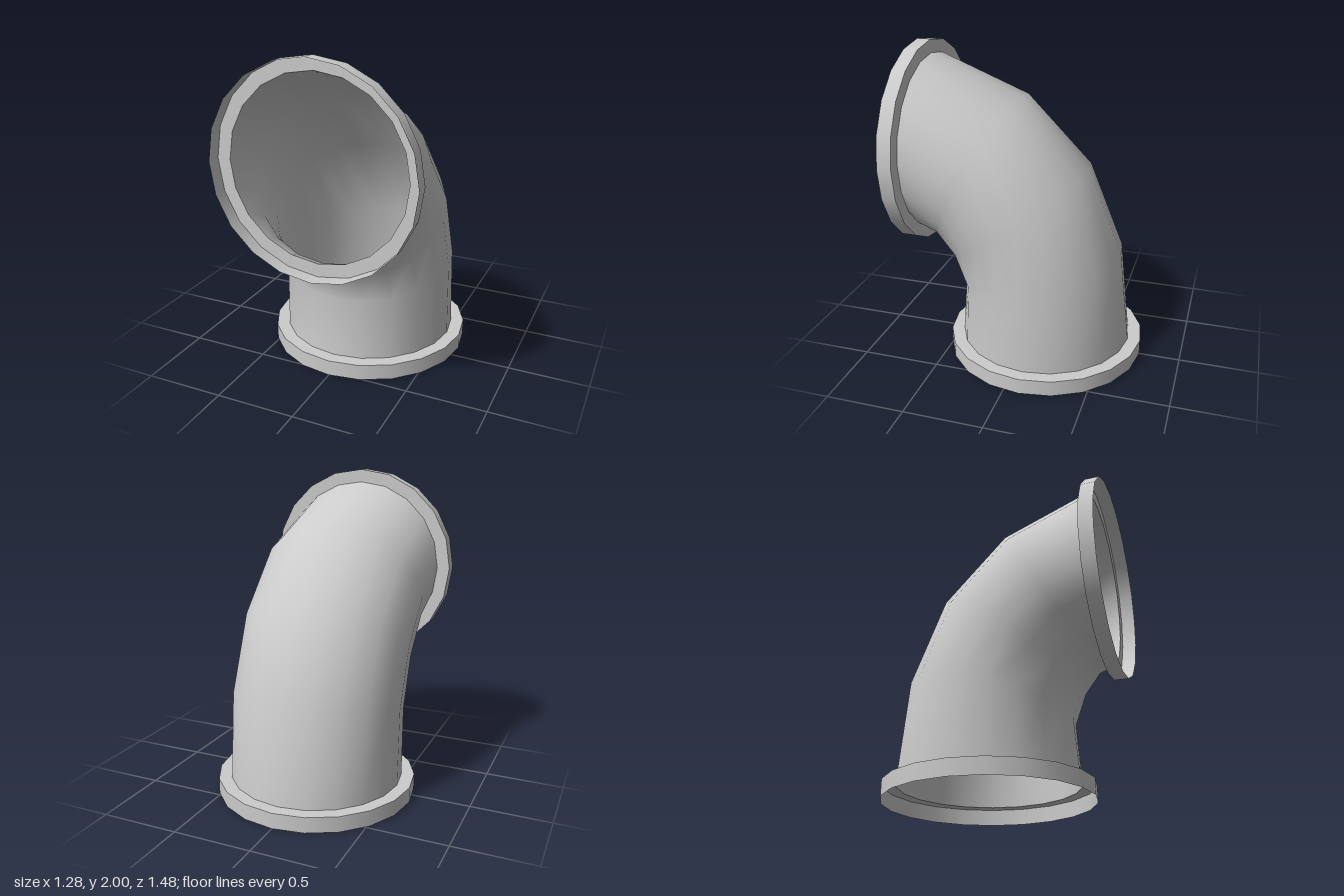
import * as THREE from 'three';

const SIDES = 20;
const PIPE_R = 0.555;
const FLANGE_R = 0.638;
const material = new THREE.MeshStandardMaterial({ color: 0xcccccc, side: THREE.DoubleSide });

// Cross-sections of the elbow: [outer z, outer y, inner z, inner y]
const SECTIONS = [
  [-0.655, 0.1, 0.455, 0.1],
  [-0.585, 0.71, 0.425, 0.475],
  [-0.36, 1.255, 0.493, 0.662],
  [0.063, 1.683, 0.58, 0.78],
  [0.65, 1.917, 0.65, 0.807],
];

// Skin the oval cross-sections into one smooth open tube
function elbowGeometry() {
  const positions = [];
  const indices = [];
  SECTIONS.forEach(([oz, oy, iz, iy], i) => {
    for (let j = 0; j < SIDES; j++) {
      const a = (j / SIDES) * Math.PI * 2;
      const c = Math.cos(a) / 2;
      positions.push(
        PIPE_R * Math.sin(a),
        (oy + iy) / 2 + (oy - iy) * c,
        (oz + iz) / 2 + (oz - iz) * c,
      );
      if (i === SECTIONS.length - 1) continue;
      const k = (j + 1) % SIDES;
      const p = i * SIDES + j, q = i * SIDES + k;
      indices.push(p, p + SIDES, q, q, p + SIDES, q + SIDES);
    }
  });
  const geometry = new THREE.BufferGeometry();
  geometry.setAttribute('position', new THREE.Float32BufferAttribute(positions, 3));
  geometry.setIndex(indices);
  geometry.computeVertexNormals();
  return geometry;
}

// Open collar: an outer wall, and a flat shoulder that meets the pipe
function flange(name, height) {
  const group = new THREE.Group();
  group.name = name;
  const wall = new THREE.Mesh(
    new THREE.CylinderGeometry(FLANGE_R, FLANGE_R, height, SIDES, 1, true), material);
  wall.name = name + 'Wall';
  wall.position.y = height / 2;
  const shoulder = new THREE.Mesh(new THREE.RingGeometry(PIPE_R, FLANGE_R, SIDES), material);
  shoulder.name = name + 'Shoulder';
  shoulder.rotation.x = -Math.PI / 2;
  shoulder.position.y = height;
  group.add(wall, shoulder);
  return group;
}

export function createModel() {
  const model = new THREE.Group();
  model.name = 'pipeElbow';

  const elbow = new THREE.Mesh(elbowGeometry(), material);
  elbow.name = 'elbow';

  const base = flange('baseFlange', 0.1);
  base.position.z = -0.1;

  // Mouth collar opens towards the front
  const mouth = flange('mouthFlange', 0.09);
  mouth.rotation.x = -Math.PI / 2;
  mouth.position.set(0, 1.362, 0.74);

  model.add(elbow, base, mouth);
  return model;
}
